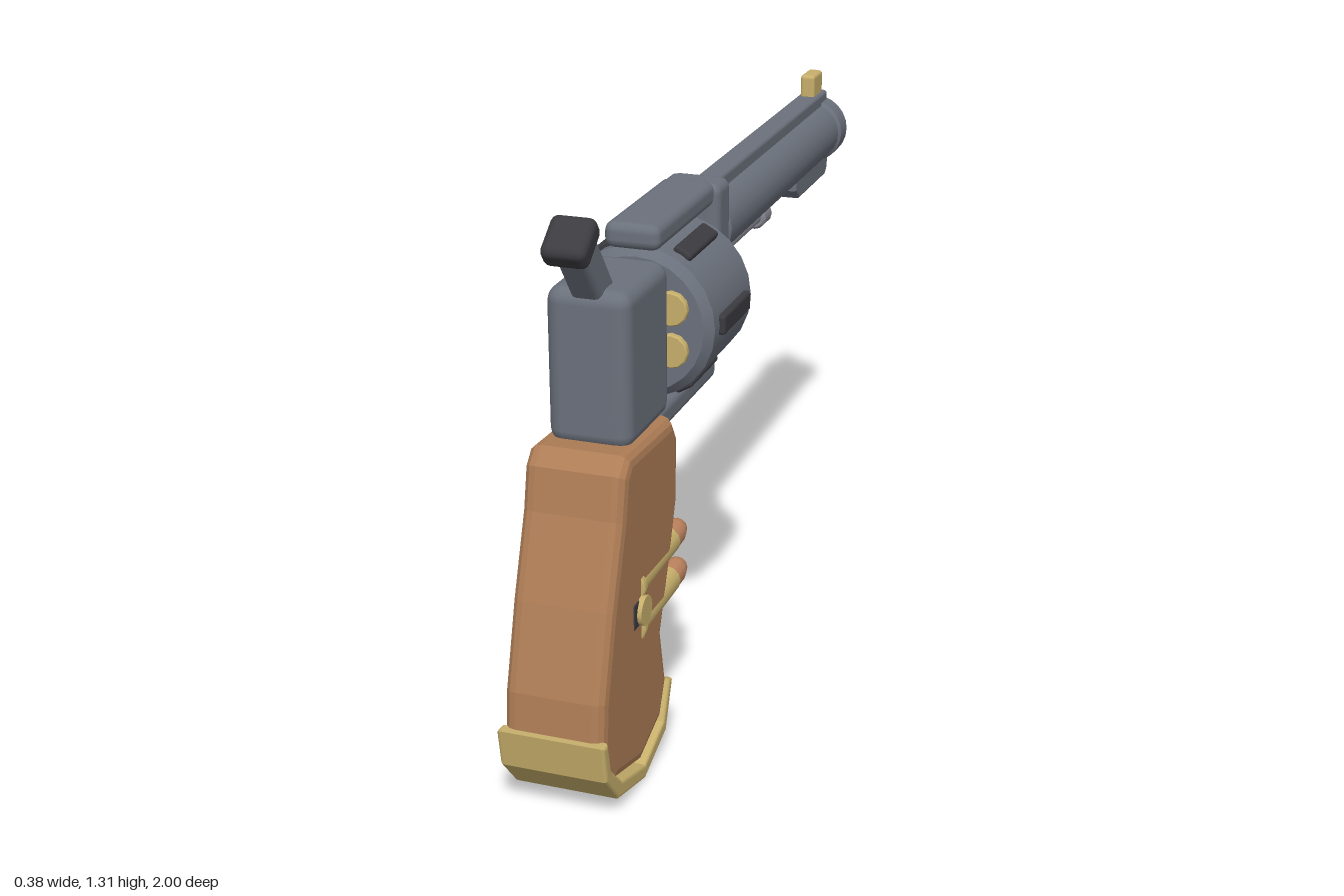
import * as THREE from 'three';
import { RoundedBoxGeometry } from 'three/addons/geometries/RoundedBoxGeometry.js';

const mat = (color) => new THREE.MeshStandardMaterial({ color });

export function createModel() {
  const model = new THREE.Group();
  const steel = mat(0x6b717c), light = mat(0x858590), dark = mat(0x3b3b40);
  const gold = mat(0xc8b06c), wood = mat(0xae7d56), copper = mat(0xc08560);

  const add = (name, geo, material, x = 0, y = 0, z = 0, parent = model) => {
    const mesh = new THREE.Mesh(geo, material);
    mesh.name = name;
    mesh.position.set(x, y, z);
    parent.add(mesh);
    return mesh;
  };
  // Rounded box given by its y and z ranges, centred on x
  const block = (name, material, w, y0, y1, z0, z1, r = 0.02, x = 0) =>
    add(name, new RoundedBoxGeometry(w, y1 - y0, z1 - z0, 2, r), material, x, (y0 + y1) / 2, (z0 + z1) / 2);
  // Round part along z with small chamfers on both ends
  const rod = (name, material, r, z0, z1, y, bevel = 0.008, sides = 24) => {
    const h = z1 - z0;
    const pts = [[0, 0], [r - bevel, 0], [r, bevel], [r, h - bevel], [r - bevel, h], [0, h]];
    return add(name, turned(pts, sides), material, 0, y, z0);
  };
  // Lathe whose axis lies along +z; corners doubled to stay crisp
  const turned = (pts, sides) => {
    const v = [];
    pts.forEach(([r, h], i) => {
      v.push(new THREE.Vector2(r, h));
      if (i > 0 && i < pts.length - 1) v.push(new THREE.Vector2(r, h + 1e-5));
    });
    return new THREE.LatheGeometry(v, sides).rotateX(Math.PI / 2);
  };
  // Side profile of [z, y] points, extruded across x
  const slab = (name, material, pts, width, bevel) => {
    const shape = new THREE.Shape(pts.map(([z, y]) => new THREE.Vector2(z, y)));
    const geo = new THREE.ExtrudeGeometry(shape, {
      depth: width - 2 * bevel, bevelEnabled: bevel > 0, bevelSize: bevel, bevelOffset: -bevel,
      bevelThickness: bevel, bevelSegments: 3,
    });
    geo.translate(0, 0, bevel - width / 2).rotateY(-Math.PI / 2);
    return add(name, geo, material);
  };

  // Grip and the band around its butt
  slab('grip', wood, [
    [0.8, 0.8], [0.53, 0.785], [0.495, 0.73], [0.5, 0.58], [0.545, 0.455], [0.61, 0.3],
    [0.58, 0.165], [0.62, 0.085], [0.755, 0.04], [0.92, 0.085], [0.985, 0.2], [0.975, 0.3],
    [0.92, 0.49], [0.855, 0.67], [0.835, 0.765],
  ], 0.23, 0.028);
  slab('buttBand', gold, [
    [1, 0.215], [0.985, 0.125], [0.915, 0.045], [0.755, 0.002], [0.615, 0.05], [0.57, 0.16],
    [0.593, 0.168], [0.633, 0.08], [0.755, 0.038], [0.895, 0.08], [0.955, 0.14], [0.972, 0.215],
  ], 0.246, 0.008);

  // Frame around the cylinder
  block('rearFrame', steel, 0.19, 0.78, 1.135, 0.49, 0.753, 0.035);
  block('topStrap', steel, 0.13, 1.14, 1.2, 0.095, 0.485, 0.022);
  block('bottomStrap', steel, 0.13, 0.712, 0.775, 0.085, 0.485, 0.022);
  block('frontFrame', steel, 0.15, 0.807, 1.19, 0.008, 0.105, 0.025);
  block('crane', steel, 0.08, 0.76, 0.84, 0.105, 0.16, 0.012);
  block('latch', light, 0.04, 0.94, 1.0, 0.5, 0.57, 0.008, -0.1);

  // Hammer, leaning back
  const shaft = add('hammer', new RoundedBoxGeometry(0.07, 0.2, 0.075, 2, 0.015), steel, 0, 1.162, 0.735);
  const spur = add('hammerSpur', new RoundedBoxGeometry(0.1, 0.055, 0.105, 2, 0.018), dark, 0, 1.262, 0.822);
  shaft.rotation.x = spur.rotation.x = 0.65;

  // Cartridge pointing to -z, rim at its origin
  const shellGeo = turned([[0, -0.25], [0.032, -0.25], [0.034, -0.018], [0.04, -0.016], [0.04, -0.003], [0.037, 0], [0, 0]], 12);
  const tip = [[0, -0.335], [0.013, -0.333], [0.023, -0.322], [0.03, -0.295], [0.031, -0.245]];
  const tipGeo = new THREE.LatheGeometry(tip.map(([r, h]) => new THREE.Vector2(r, h)), 12).rotateX(Math.PI / 2);
  const cartridgeRing = (name, y, z) => {
    const ring = new THREE.Group();
    ring.name = name;
    ring.position.set(0, y, z);
    for (let i = 0; i < 6; i++) {
      const a = Math.PI / 6 + (i * Math.PI) / 3;
      const x = 0.098 * Math.cos(a), v = 0.098 * Math.sin(a);
      add('shell', shellGeo, gold, x, v, 0, ring);
      add('bullet', tipGeo, copper, x, v, 0, ring);
    }
    model.add(ring);
  };

  // Cylinder with six dark flutes
  const cy = 0.962;
  rod('cylinder', steel, 0.178, 0.16, 0.457, cy, 0.02);
  rod('cylinderPin', steel, 0.035, 0.1, 0.17, cy);
  rod('cylinderRearPin', steel, 0.03, 0.45, 0.5, cy);
  for (let i = 0; i < 6; i++) {
    const a = (i * Math.PI) / 3;
    const flute = add('flute', new RoundedBoxGeometry(0.03, 0.046, 0.19, 2, 0.008), dark,
      0.175 * Math.cos(a), cy + 0.175 * Math.sin(a), 0.31);
    flute.rotation.z = a;
  }
  cartridgeRing('loadedCartridges', cy, 0.472);
  cartridgeRing('spareCartridges', 0.42, 0.748);

  // Cross pin and plate through the grip
  add('gripPin', new THREE.CylinderGeometry(0.034, 0.034, 0.256, 16).rotateZ(Math.PI / 2), gold, 0, 0.42, 0.748);
  block('gripPlate', dark, 0.236, 0.39, 0.45, 0.72, 0.795, 0.004);

  // Barrel group
  const by = 1.062;
  rod('barrel', steel, 0.08, -0.96, 0.03, by);
  rod('muzzleRing', steel, 0.087, -0.99, -0.91, by, 0.012);
  rod('bore', dark, 0.04, -1, -0.95, by, 0.004);
  block('barrelRib', steel, 0.06, 1.11, 1.168, -0.978, 0.02, 0.01);
  block('frontSight', gold, 0.04, 1.15, 1.226, -0.962, -0.876, 0.01);
  slab('underLug', steel, [
    [-0.65, 1.0], [-0.65, 0.965], [-0.685, 0.937], [-0.935, 0.937], [-0.957, 0.955], [-0.957, 1.0],
  ].reverse(), 0.08, 0.008);
  rod('ejectorRod', light, 0.02, -0.42, 0.03, 0.963, 0.003, 12);
  rod('ejectorKnob', light, 0.031, -0.466, -0.402, 0.96, 0.006, 12);

  // Trigger and its guard
  add('triggerGuard', new THREE.TorusGeometry(0.122, 0.018, 10, 28).rotateY(Math.PI / 2), gold, 0, 0.675, 0.441);
  const trigger = add('trigger', new RoundedBoxGeometry(0.045, 0.17, 0.04, 2, 0.014), gold, 0, 0.69, 0.467);
  trigger.rotation.x = -0.28;

  return model;
}
